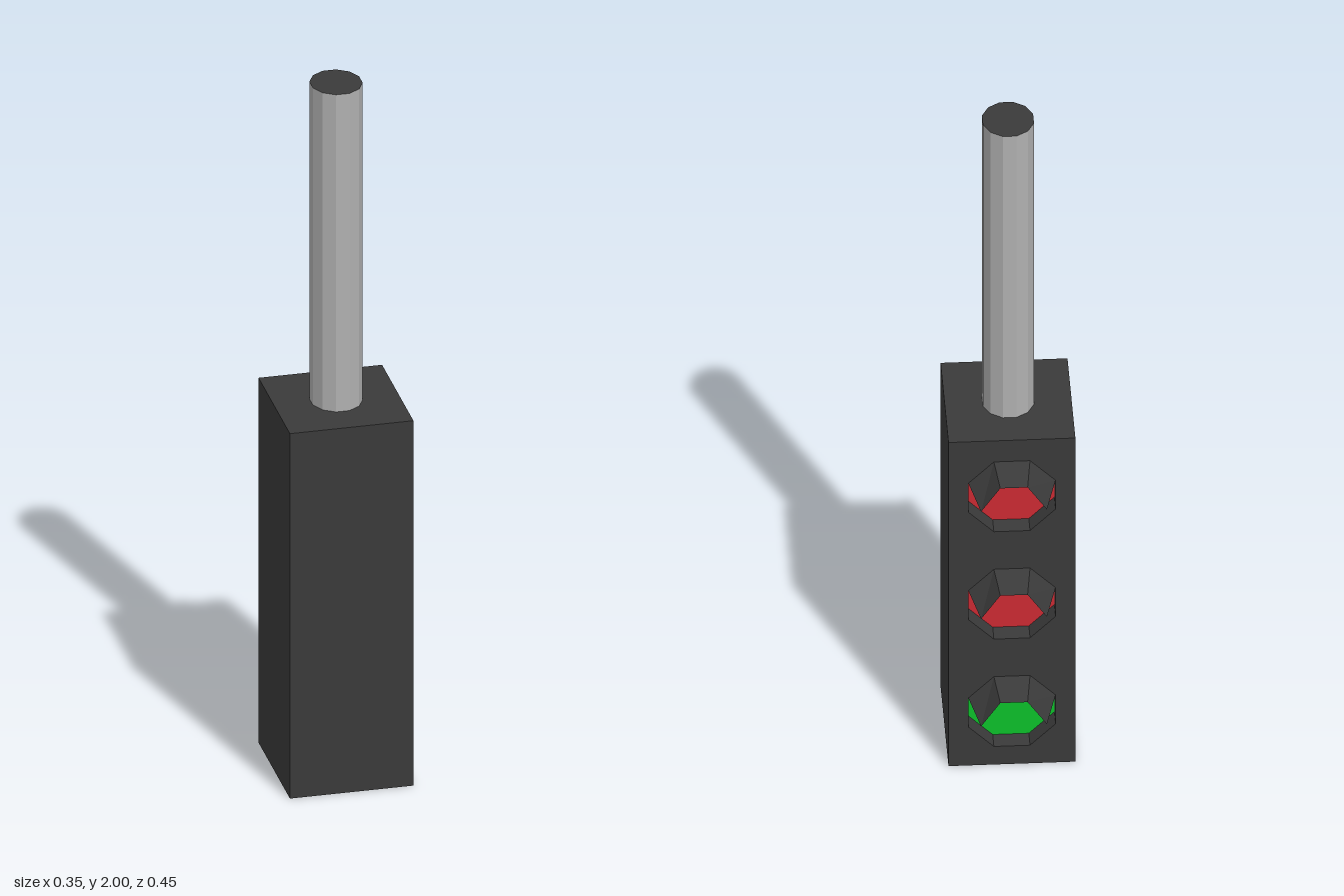
import * as THREE from 'three';

const paint = (color, extra = {}) =>
  new THREE.MeshStandardMaterial({ color, flatShading: true, ...extra });

const W = 0.336, D = 0.351, H = 1.07;   // housing size
const FACE = -D / 2;                    // plane of the lamp face
const RECESS = 0.055;                   // depth of the lamp wells
const R = 0.125;                        // lamp radius, eight-sided
const LAMPS = [
  { name: 'upperLamp', y: 0.885, color: 0xcc2a33 },
  { name: 'middleLamp', y: 0.53, color: 0xcc2a33 },
  { name: 'lowerLamp', y: 0.175, color: 0x0cc02a },
];

// Corner k of an octagon with a flat top
const corner = (k) => {
  const a = (k + 0.5) * Math.PI / 4;
  return [R * Math.cos(a), R * Math.sin(a)];
};

// Three-sided hood, narrowing and dipping towards its tip
function hoodGeometry() {
  const pos = [], index = [];
  const tipY = [0.02, 0.095, 0.095, 0.02];
  for (let k = 0; k < 4; k++) {
    const [x, y] = corner(k);
    pos.push(x, y, 0, x * 0.755, tipY[k], -0.09);
    if (k < 3) {
      const a = 2 * k;
      index.push(a, a + 1, a + 2, a + 1, a + 3, a + 2);
    }
  }
  const g = new THREE.BufferGeometry();
  g.setAttribute('position', new THREE.Float32BufferAttribute(pos, 3));
  g.setIndex(index);
  g.computeVertexNormals();
  return g;
}

export function createModel() {
  const model = new THREE.Group();
  model.name = 'trafficLight';
  const dark = paint(0x3a3a3a);
  const darkThin = paint(0x3a3a3a, { side: THREE.DoubleSide });

  const add = (name, geometry, material, x, y, z) => {
    const mesh = new THREE.Mesh(geometry, material);
    mesh.name = name;
    mesh.position.set(x, y, z);
    model.add(mesh);
    return mesh;
  };

  // Housing behind the lamp wells
  add('housing', new THREE.BoxGeometry(W, H, D - RECESS), dark, 0, H / 2, RECESS / 2);

  // Face plate with three octagonal wells
  const plate = new THREE.Shape([
    new THREE.Vector2(-W / 2, 0), new THREE.Vector2(W / 2, 0),
    new THREE.Vector2(W / 2, H), new THREE.Vector2(-W / 2, H),
  ]);
  for (const { y } of LAMPS) {
    const points = [];
    for (let k = 7; k >= 0; k--) {
      const [px, py] = corner(k);
      points.push(new THREE.Vector2(px, y + py));
    }
    plate.holes.push(new THREE.Path(points));
  }
  add('facePlate', new THREE.ExtrudeGeometry(plate, { depth: RECESS, bevelEnabled: false }),
    dark, 0, 0, FACE);

  // Lenses at the bottom of the wells, each under a hood
  const lens = new THREE.CircleGeometry(R, 8, Math.PI / 8);
  const hood = hoodGeometry();
  for (const { name, y, color } of LAMPS) {
    add(name, lens, paint(color), 0, y, FACE + RECESS - 0.002).rotation.y = Math.PI;
    add(name + 'Hood', hood, darkThin, 0, y, FACE);
  }

  // Twelve-sided pole with dark ends
  const pole = new THREE.CylinderGeometry(1, 1, 2 - H, 12, 1, false, Math.PI / 12);
  add('pole', pole, [paint(0xb0b0b0), dark, dark], 0, (2 + H) / 2, 0).scale.set(0.07, 1, 0.078);

  // The whole light is turned slightly
  model.rotation.y = -0.035;
  model.position.z = 0.042;
  const root = new THREE.Group();
  root.add(model);
  return root;
}
